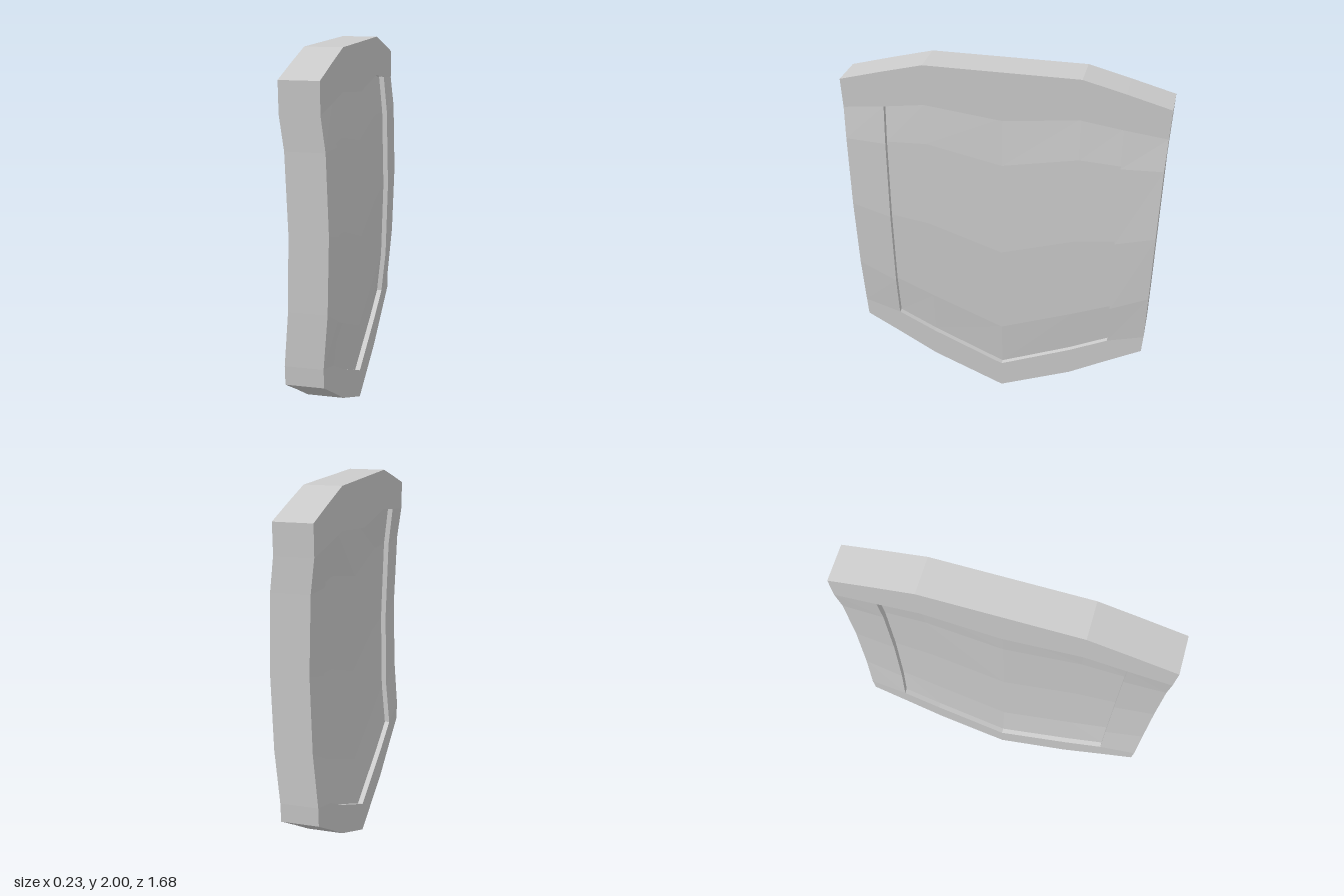
import * as THREE from 'three';

// Column data from the centre line outwards: z at top and bottom, heights of the seven rows
const COLUMNS = [
  { z: [0, 0], y: [2, 1.74, 1.48, 0.95, 0.43, 0.16, 0] },
  { z: [0.4, 0.4], y: [2, 1.785, 1.56, 1.08, 0.59, 0.335, 0.17] },
  { z: [0.617, 0.606], y: [1.945, 1.755, 1.55, 1.11, 0.68, 0.44, 0.29] },
  { z: [0.84, 0.8], y: [1.885, 1.73, 1.56, 1.17, 0.78, 0.5, 0.4] },
];
const BULGE = [0, 0, 0.021, 0.033, 0.023, 0, 0]; // sideways bow of each row
const FACE = { 1: 0.08, [-1]: -0.115 };           // x of the two broad faces
const RECESS = 0.028;

// Grid point: row r from the top, column c from -z to +z, on face s, sunk by depth
function point(r, c, s, depth = 0) {
  const col = COLUMNS[Math.abs(c - 3)];
  const t = r / 6;
  const z = col.z[0] * (1 - t) + col.z[1] * t;
  return [FACE[s] + BULGE[r] - s * depth, col.y[r], Math.sign(c - 3) * z];
}

// Border of a block of grid cells, inset by n cells, as [row, column] pairs
function border(n) {
  const a = n, b = 6 - n, loop = [];
  for (let i = a; i < b; i++) loop.push([a, i]);
  for (let i = a; i < b; i++) loop.push([i, b]);
  for (let i = b; i > a; i--) loop.push([b, i]);
  for (let i = b; i > a; i--) loop.push([i, a]);
  return loop;
}

function addQuad(out, a, b, c, d, flip = false) {
  const q = flip ? [a, d, c, b] : [a, b, c, d];
  for (const i of [0, 1, 2, 0, 2, 3]) out.push(...q[i]);
}

function makeMesh(name, positions, material) {
  const geometry = new THREE.BufferGeometry();
  geometry.setAttribute('position', new THREE.Float32BufferAttribute(positions, 3));
  geometry.computeVertexNormals();
  const mesh = new THREE.Mesh(geometry, material);
  mesh.name = name;
  return mesh;
}

export function createModel() {
  const group = new THREE.Group();
  group.name = 'shield';
  const material = new THREE.MeshStandardMaterial({ color: 0xcccccc, flatShading: true });

  for (const s of [1, -1]) {
    const side = s > 0 ? 'outer' : 'inner';
    const rim = [], panel = [], wall = [];

    // Raised rim cells and sunken panel cells
    for (let r = 0; r < 6; r++) {
      for (let c = 0; c < 6; c++) {
        const sunken = r > 0 && r < 5 && c > 0 && c < 5;
        const d = sunken ? RECESS : 0;
        addQuad(sunken ? panel : rim,
          point(r, c, s, d), point(r, c + 1, s, d),
          point(r + 1, c + 1, s, d), point(r + 1, c, s, d), s < 0);
      }
    }

    // Step from the rim down to the panel
    const loop = border(1);
    loop.forEach((a, i) => {
      const b = loop[(i + 1) % loop.length];
      addQuad(wall, point(...a, s), point(...b, s),
        point(...b, s, RECESS), point(...a, s, RECESS), s < 0);
    });

    group.add(makeMesh(side + 'Rim', rim, material));
    group.add(makeMesh(side + 'Panel', panel, material));
    group.add(makeMesh(side + 'PanelStep', wall, material));
  }

  // Thick outside edge joining the two faces
  const edge = [], loop = border(0);
  loop.forEach((a, i) => {
    const b = loop[(i + 1) % loop.length];
    addQuad(edge, point(...a, 1), point(...a, -1), point(...b, -1), point(...b, 1));
  });
  group.add(makeMesh('edge', edge, material));

  return group;
}
